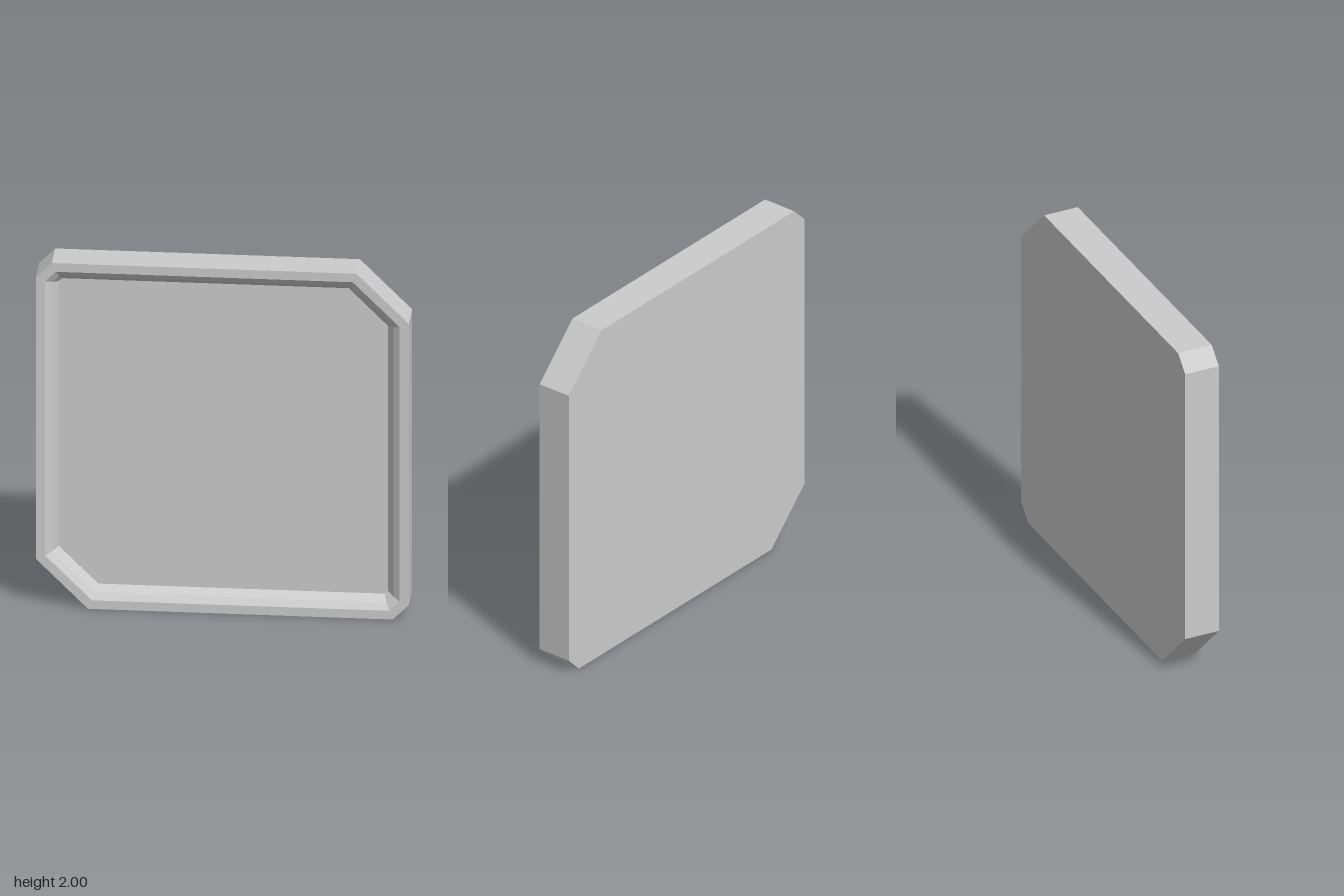
import * as THREE from 'three';

// Square outline with two large and two small opposite corner cuts,
// inset evenly by d; counter-clockwise seen from the front.
function outline(d, z) {
  const h = 1 - d;
  const shrink = d * (2 - Math.SQRT2);
  const big = 0.28 - shrink;
  const small = 0.086 - shrink;
  return [
    [-h + big, -h], [h - small, -h], [h, -h + small], [h, h - big],
    [h - big, h], [-h + small, h], [-h, h - small], [-h, -h + big],
  ].map(([x, y]) => [x, y + 1, z]);
}

function meshFrom(name, triangles, material) {
  const geometry = new THREE.BufferGeometry();
  geometry.setAttribute('position', new THREE.Float32BufferAttribute(triangles.flat(), 3));
  geometry.computeVertexNormals();
  const mesh = new THREE.Mesh(geometry, material);
  mesh.name = name;
  return mesh;
}

// Band of quads joining two outlines
function band(a, b) {
  return a.flatMap((p, i) => {
    const j = (i + 1) % a.length;
    return [p, a[j], b[j], p, b[j], b[i]];
  });
}

// Fan filling one convex outline
function cap(ring) {
  const out = [];
  for (let i = 1; i < ring.length - 1; i++) out.push(ring[0], ring[i], ring[i + 1]);
  return out;
}

export function createModel() {
  const group = new THREE.Group();
  group.name = 'panel';
  const material = new THREE.MeshStandardMaterial({ color: 0xcccccc, flatShading: true });

  // Cross-section from the back edge over the rim to the sunken floor
  const back = outline(0, -0.1);
  const front = outline(0, 0.1);
  const rimInner = outline(0.05, 0.1);
  const bevelMiddle = outline(0.085, 0.072);
  const floor = outline(0.117, 0.026);

  group.add(
    meshFrom('outerWall', band(back, front), material),
    meshFrom('rim', band(front, rimInner), material),
    meshFrom('innerBevel', [...band(rimInner, bevelMiddle), ...band(bevelMiddle, floor)], material),
    meshFrom('floor', cap(floor), material),
    meshFrom('backPlate', cap([...back].reverse()), material),
  );
  return group;
}
